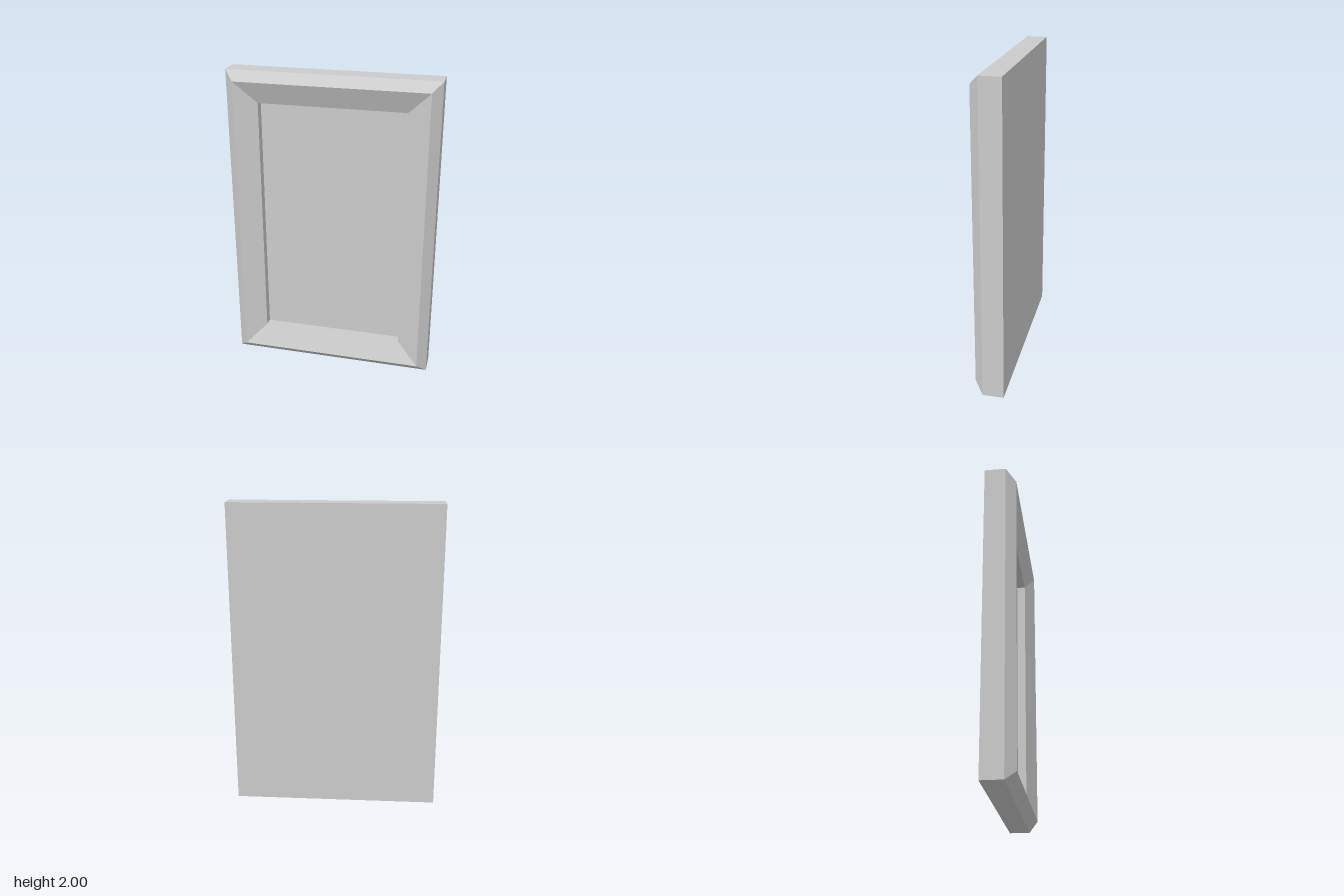
import * as THREE from 'three';

const W = 1.334, H = 2; // overall width and height
const BACK = -0.097, PANEL = -0.02; // depths of the back face and recessed panel

// Frame moulding profile, from the back edge over the ridge to the panel: [inset, z]
const PROFILE = [
  [0, BACK],
  [0, 0.037],
  [0.06, 0.097],
  [0.2, 0.037],
  [0.2, PANEL],
];

// Four corners of a rectangle inset from the outline, counter-clockwise from the front
function ring([inset, z]) {
  const x = W / 2 - inset, lo = inset, hi = H - inset;
  return [[-x, lo, z], [x, lo, z], [x, hi, z], [-x, hi, z]];
}

// Sweep the profile round the rectangle with mitred corners
function mouldingGeometry(profile) {
  const rings = profile.map(ring);
  const positions = [];
  for (let i = 0; i < rings.length - 1; i++) {
    const a = rings[i], b = rings[i + 1];
    for (let j = 0; j < 4; j++) {
      const k = (j + 1) % 4;
      for (const p of [a[j], a[k], b[k], a[j], b[k], b[j]]) positions.push(...p);
    }
  }
  const geometry = new THREE.BufferGeometry();
  geometry.setAttribute('position', new THREE.Float32BufferAttribute(positions, 3));
  geometry.computeVertexNormals();
  return geometry;
}

export function createModel() {
  const group = new THREE.Group();
  group.name = 'pictureFrame';
  const material = new THREE.MeshStandardMaterial({ color: 0xcccccc, flatShading: true });
  const add = (name, geometry) => {
    const mesh = new THREE.Mesh(geometry, material);
    mesh.name = name;
    group.add(mesh);
    return mesh;
  };

  // Bevelled frame
  add('frame', mouldingGeometry(PROFILE));

  // Recessed picture panel
  const panel = add('picturePanel', new THREE.PlaneGeometry(W - 0.4, H - 0.4));
  panel.position.set(0, H / 2, PANEL);

  // Flat back
  const back = add('backBoard', new THREE.PlaneGeometry(W, H));
  back.position.set(0, H / 2, BACK);
  back.rotation.y = Math.PI;

  return group;
}
